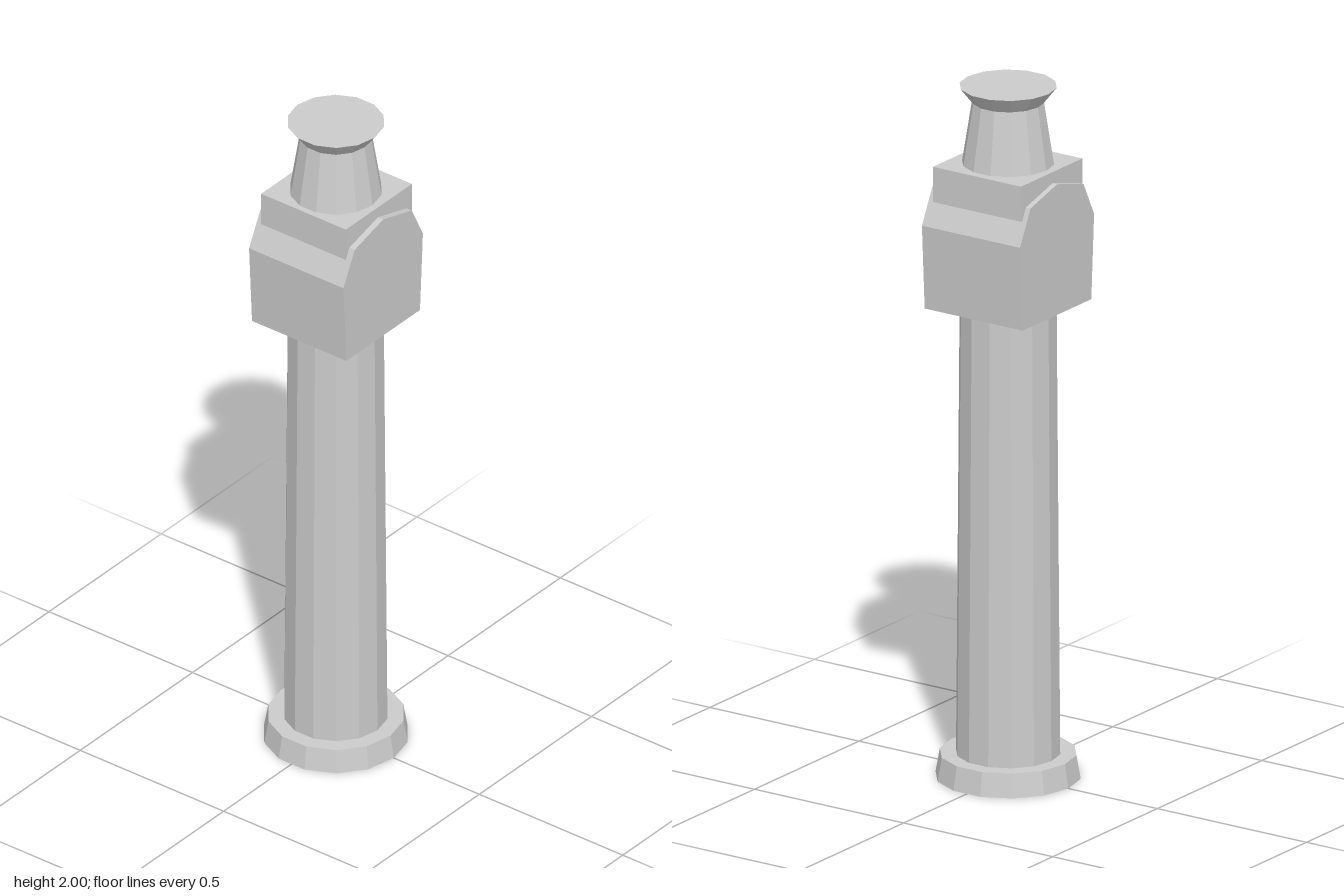
import * as THREE from 'three';

const SIDES = 14;

export function createModel() {
  const model = new THREE.Group();
  const solid = new THREE.MeshStandardMaterial({ color: 0xcccccc, flatShading: true });
  const shell = solid.clone();
  shell.side = THREE.DoubleSide;

  function add(name, geometry, material, x = 0, y = 0, z = 0) {
    const mesh = new THREE.Mesh(geometry, material);
    mesh.name = name;
    mesh.position.set(x, y, z);
    model.add(mesh);
  }

  // Faceted surface of revolution from [radius, height] pairs
  const turned = (profile) =>
    new THREE.LatheGeometry(profile.map(([r, y]) => new THREE.Vector2(r, y)), SIDES);

  // Hollow flared foot with its ledge, open underneath
  add('foot', turned([[0.202, 0], [0.19, 0.068], [0.145, 0.068]]), shell);

  // Hollow tapered shaft
  add('shaft', turned([[0.145, 0.068], [0.135, 1.366]]), shell);

  // Head block with a shallow peaked, chamfered top
  const outline = new THREE.Shape([
    [-0.164, 1.366], [0.164, 1.366], [0.177, 1.61], [0.127, 1.71],
    [0, 1.745], [-0.127, 1.71], [-0.177, 1.61],
  ].map(([x, y]) => new THREE.Vector2(x, y)));
  const head = new THREE.ExtrudeGeometry(outline, { depth: 0.329, bevelEnabled: false });
  add('headBlock', head, solid, 0, 0, -0.164);

  // Square plinth set into the head
  add('plinth', new THREE.BoxGeometry(0.294, 0.102, 0.295), solid, 0.004, 1.726, -0.001);

  // Tapered neck and flared cap
  add('neck', turned([[0.128, 1.777], [0.1, 1.955]]), shell);
  add('cap', turned([[0, 1.955], [0.1, 1.955], [0.135, 2], [0, 2]]), solid);

  return model;
}
